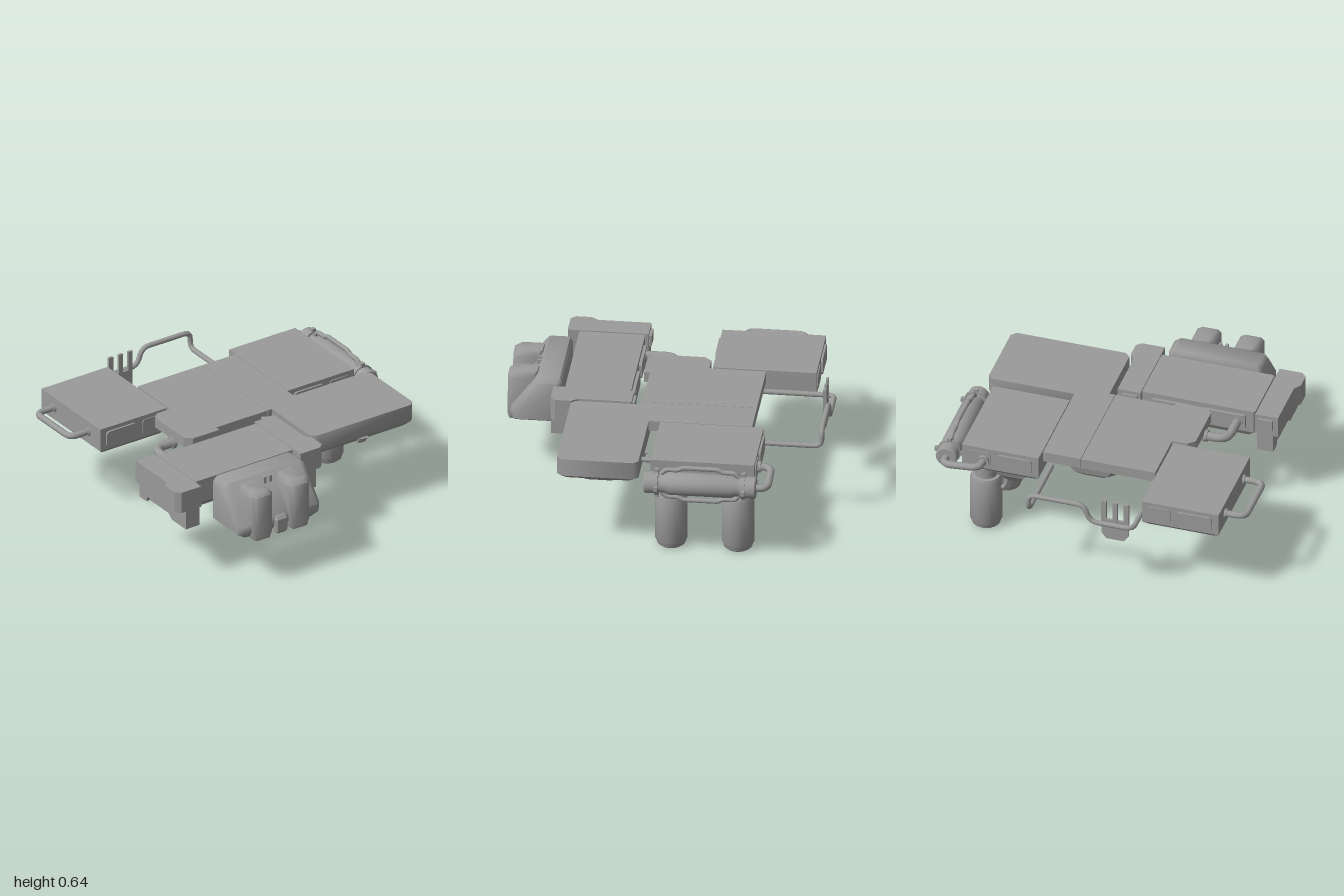
import * as THREE from 'three';
import { ConvexGeometry } from 'three/addons/geometries/ConvexGeometry.js';
import { RoundedBoxGeometry } from 'three/addons/geometries/RoundedBoxGeometry.js';
import { toCreasedNormals } from 'three/addons/utils/BufferGeometryUtils.js';

const V = (x, y, z) => new THREE.Vector3(x, y, z);

export function createModel() {
  const root = new THREE.Group();
  const mat = new THREE.MeshStandardMaterial({ color: 0x9a9a9a });

  const add = (name, geo, x = 0, y = 0, z = 0, parent = root) => {
    const m = new THREE.Mesh(geo, mat);
    m.name = name;
    m.position.set(x, y, z);
    parent.add(m);
    return m;
  };
  // Box given by its limits
  const box = (name, x0, x1, y0, y1, z0, z1, r = 0) => {
    const s = [x1 - x0, y1 - y0, z1 - z0];
    const geo = r ? new RoundedBoxGeometry(...s, 2, r) : new THREE.BoxGeometry(...s);
    return add(name, geo, (x0 + x1) / 2, (y0 + y1) / 2, (z0 + z1) / 2);
  };
  // Plan outline [x, z] extruded upwards
  const slab = (name, plan, y0, y1) => {
    const s = new THREE.Shape(plan.map(([x, z]) => new THREE.Vector2(x, -z)));
    const g = new THREE.ExtrudeGeometry(s, { depth: y1 - y0, bevelEnabled: false });
    return add(name, g.rotateX(-Math.PI / 2), 0, y0, 0);
  };
  // Side outline [z, y] extruded across x
  const side = (name, profile, x0, x1) => {
    const s = new THREE.Shape(profile.map(([z, y]) => new THREE.Vector2(-z, y)));
    const g = new THREE.ExtrudeGeometry(s, { depth: x1 - x0, bevelEnabled: false });
    return add(name, g.rotateY(Math.PI / 2), x0, 0, 0);
  };
  // Rounded panel standing on an end face
  const panel = (name, x0, x1, y0, y1, z, depth, r) => {
    const s = new THREE.Shape();
    s.absarc(x1 - r, y1 - r, r, 0, Math.PI / 2);
    s.absarc(x0 + r, y1 - r, r, Math.PI / 2, Math.PI);
    s.absarc(x0 + r, y0 + r, r, Math.PI, Math.PI * 1.5);
    s.absarc(x1 - r, y0 + r, r, Math.PI * 1.5, Math.PI * 2);
    return add(name, new THREE.ExtrudeGeometry(s, { depth, bevelEnabled: false, curveSegments: 5 }), 0, 0, z - depth / 2);
  };
  // Convex block from stacked rectangles [y, x0, x1, z0, z1, corner cut]; crease softens edges
  const stack = (name, rings, crease = 0) => {
    const p = [];
    for (const [y, x0, x1, z0, z1, c = 0] of rings) {
      for (const [x, sx] of [[x0, 1], [x1, -1]]) for (const [z, sz] of [[z0, 1], [z1, -1]]) {
        p.push(V(x + sx * c, y, z));
        if (c) p.push(V(x, y, z + sz * c));
      }
    }
    const g = new ConvexGeometry(p);
    return add(name, crease ? toCreasedNormals(g, crease) : g);
  };
  // Turned body from a [radius, height] profile
  const turned = (profile) =>
    toCreasedNormals(new THREE.LatheGeometry(profile.map(([r, y]) => new THREE.Vector2(r, y)), 28), 0.6);
  // Pipe along points with rounded corners
  const pipe = (name, points, r, bend = 0.05, parent = root) => {
    const pts = points.map((p) => V(...p));
    const path = new THREE.CurvePath();
    let from = pts[0];
    for (let i = 1; i < pts.length - 1; i++) {
      const c = pts[i];
      const cut = (q) => c.clone().add(q.clone().sub(c).setLength(Math.min(bend, q.distanceTo(c) * 0.49)));
      const a = cut(pts[i - 1]), b = cut(pts[i + 1]);
      path.add(new THREE.LineCurve3(from, a));
      path.add(new THREE.QuadraticBezierCurve3(a, c, b));
      from = b;
    }
    path.add(new THREE.LineCurve3(from, pts[pts.length - 1]));
    return add(name, new THREE.TubeGeometry(path, 80, r, 10), 0, 0, 0, parent);
  };
  // Short round part along an axis
  const disc = (name, x, y, z, r, h, axis = 'y') => {
    const g = new THREE.CylinderGeometry(r, r, h, 20);
    if (axis === 'z') g.rotateX(Math.PI / 2);
    if (axis === 'x') g.rotateZ(Math.PI / 2);
    return add(name, g, x, y, z);
  };

  // Central deck in two plates, with the machinery below it
  slab('deckPlate', [[-0.365, -0.55], [0.097, -0.55], [0.097, 0.135], [-0.27, 0.135], [-0.27, 0.17],
    [-0.46, 0.17], [-0.5, 0.13], [-0.5, -0.17], [-0.46, -0.21], [-0.365, -0.21]], 0.55, 0.615);
  slab('deckPlate', [[0.1, -0.55], [0.335, -0.55], [0.335, 0.07], [0.165, 0.07], [0.135, 0.1], [0.135, 0.135], [0.1, 0.135]], 0.55, 0.615);
  stack('deckSideKeel', [[0.55, -0.36, -0.06, -0.33, 0.01, 0.03], [0.5, -0.34, -0.08, -0.3, -0.02, 0.05],
    [0.46, -0.28, -0.14, -0.24, -0.08, 0.03]]);
  stack('deckRearKeel', [[0.55, -0.12, 0.2, -0.54, -0.26, 0.03], [0.5, -0.11, 0.19, -0.53, -0.28, 0.05],
    [0.455, -0.05, 0.13, -0.48, -0.33, 0.03]]);
  for (const [x, z] of [[-0.21, -0.16], [0.04, -0.4]]) disc('keelHub', x, 0.45, z, 0.045, 0.03);
  box('deckSpine', -0.3, 0.1, 0.51, 0.56, -0.14, 0.08);
  pipe('deckHose', [[0.06, 0.575, 0.13], [0.08, 0.575, 0.155], [0.135, 0.575, 0.165]], 0.012, 0.02);

  // Front slab with a bevelled underside
  stack('frontSlab', [[0.615, 0.135, 0.875, 0.07, 0.558, 0.03], [0.505, 0.135, 0.875, 0.07, 0.558, 0.03],
    [0.475, 0.18, 0.835, 0.1, 0.53, 0.03]], 0.9);
  stack('slabLatch', [[0.5, 0.475, 0.535, 0.055, 0.572, 0.012], [0.462, 0.475, 0.535, 0.08, 0.545, 0.012]]);
  stack('slabSkid', [[0.48, 0.26, 0.83, 0.15, 0.47, 0.03], [0.45, 0.32, 0.8, 0.21, 0.41, 0.03]]);

  // Two equipment boxes with raised panels on their ends and undersides
  for (const [label, x0, z0] of [['rearBox', -0.855, -0.85], ['rightBox', 0.34, -0.62]]) {
    const x1 = x0 + 0.478, z1 = z0 + 0.62;
    stack(label, [[0.615, x0, x1, z0, z1], [0.47, x0, x1, z0, z1], [0.44, x0 + 0.03, x1 - 0.03, z0 + 0.03, z1 - 0.03]]);
    for (const z of [z0, z1]) {
      panel('endPanel', x0 + 0.04, x0 + 0.26, 0.485, 0.59, z, 0.024, 0.025);
      panel('endPanelSmall', x0 + 0.3, x0 + 0.44, 0.485, 0.59, z, 0.012, 0.025);
    }
    for (let i = 0; i < 3; i++) {
      const z = z0 + 0.05 + i * 0.18;
      box('bottomPanel', x0 + 0.06, x1 - 0.06, 0.425, 0.445, z, z + 0.16, 0.009);
    }
  }

  // Grab handle on the rear box
  pipe('sideHandle', [[-0.85, 0.545, -0.72], [-0.982, 0.545, -0.72], [-0.982, 0.545, -0.36], [-0.85, 0.545, -0.36]], 0.02, 0.055);
  for (const z of [-0.72, -0.36]) disc('handleCollar', -0.858, 0.545, z, 0.028, 0.02, 'x');

  // Raised frame pipe behind the deck, with a forked bracket
  pipe('rearFrame', [[0.295, 0.49, -0.5], [0.295, 0.49, -0.962], [0.295, 0.595, -0.962], [-0.05, 0.595, -0.962],
    [-0.09, 0.485, -0.962], [-0.355, 0.485, -0.962], [-0.355, 0.485, -0.36]], 0.016, 0.045);
  stack('forkPlate', [[0.5, -0.32, -0.15, -0.932, -0.918], [0.4, -0.32, -0.15, -0.932, -0.918],
    [0.36, -0.29, -0.18, -0.932, -0.918]]);
  for (const x of [-0.305, -0.235, -0.165]) box('forkProng', x - 0.015, x + 0.015, 0.48, 0.625, -0.933, -0.917);

  // Hanging canisters
  const canister = [[0, 0], [0.07, 0], [0.085, 0.012], [0.09, 0.03], [0.097, 0.045], [0.097, 0.335], [0.088, 0.358],
    [0.068, 0.36], [0.068, 0.395], [0.08, 0.405], [0.08, 0.435], [0.06, 0.44], [0.06, 0.46]];
  for (const z of [-0.11, -0.51]) {
    add('canister', turned(canister), 0.7, 0, z);
    pipe('canisterHose', [[0.53, 0.4, z], [0.56, 0.38, z], [0.58, 0.28, z], [0.63, 0.27, z]], 0.014, 0.04);
    stack('hoseBlock', [[0.44, 0.42, 0.62, z - 0.08, z + 0.08], [0.41, 0.46, 0.6, z - 0.07, z + 0.07],
      [0.355, 0.51, 0.55, z - 0.03, z + 0.03]]);
  }

  // Pressure tube lying beside the right box
  const tube = [[0, 0], [0.06, 0], [0.066, 0.006], [0.066, 0.08], [0.058, 0.09], [0.058, 0.125], [0.07, 0.15],
    [0.07, 0.52], [0.058, 0.545], [0.058, 0.58], [0.066, 0.59], [0.066, 0.664], [0.06, 0.67], [0.036, 0.67],
    [0.036, 0.662], [0.018, 0.662], [0.018, 0.672], [0, 0.672]];
  const tubeGroup = new THREE.Group();
  tubeGroup.name = 'pressureTube';
  tubeGroup.position.set(0.91, 0.515, -0.643);
  root.add(tubeGroup);
  add('tubeBody', turned(tube).rotateX(Math.PI / 2), 0, 0, 0, tubeGroup);
  for (const z of [0.075, 0.595]) {
    add('tubeBand', new THREE.CylinderGeometry(0.074, 0.074, 0.02, 24).rotateX(Math.PI / 2), 0, 0, z, tubeGroup);
  }
  for (let i = 0; i < 4; i++) {
    const arm = new THREE.Group();
    arm.name = 'tubeRib';
    arm.rotation.z = i * Math.PI / 2;
    tubeGroup.add(arm);
    if (i % 2 === 0) {
      pipe('ribRod', [[0, 0.06, 0.1], [0, 0.09, 0.13], [0, 0.09, 0.2], [0, 0.107, 0.23], [0, 0.107, 0.44],
        [0, 0.09, 0.47], [0, 0.09, 0.54], [0, 0.06, 0.57]], 0.014, 0.015, arm);
    }
    for (const z of [0.075, 0.595]) {
      add('bandLug', new THREE.BoxGeometry(0.025, 0.035, 0.025), 0, 0.075, z, arm);
    }
  }
  pipe('tubeFeed', [[0.68, 0.535, -0.6], [0.68, 0.535, -0.71], [0.91, 0.515, -0.71], [0.91, 0.515, -0.62]], 0.022, 0.06);
  disc('feedCollar', 0.68, 0.535, -0.63, 0.035, 0.03, 'z');
  pipe('slabLink', [[0.68, 0.54, -0.02], [0.68, 0.54, 0.09]], 0.016);

  // Front cabinet with discs and bolts underneath
  stack('frontCabinet', [[0.61, -0.745, -0.04, 0.22, 0.615, 0.01], [0.46, -0.745, -0.04, 0.22, 0.615, 0.01],
    [0.425, -0.71, -0.075, 0.24, 0.59, 0.01]]);
  for (const x of [-0.56, -0.23]) {
    panel('cabinetRearPanel', x - 0.13, x + 0.13, 0.48, 0.58, 0.22, 0.035, 0.02);
    box('cabinetFloorPanel', x - 0.14, x + 0.14, 0.412, 0.43, 0.27, 0.56, 0.008);
    disc('floorDisc', x, 0.41, 0.415, 0.075, 0.02);
    disc('floorHub', x, 0.4, 0.415, 0.035, 0.02);
    for (const sx of [-1, 1]) for (const z of [0.3, 0.53]) disc('floorBolt', x + sx * 0.11, 0.41, z, 0.015, 0.02);
  }

  // Stepped side guards, mirrored about the cabinet
  for (const s of [-1, 1]) {
    const X = (d) => -0.395 + s * d;
    slab('sideGuard', [[X(0.358), 0.2], [X(0.358), 0.685], [X(0.5), 0.685], [X(0.53), 0.655], [X(0.53), 0.56],
      [X(0.5), 0.52], [X(0.5), 0.2]], 0.475, 0.612);
    side('guardSkirt', [[0.2, 0.48], [0.2, 0.36], [0.27, 0.36], [0.285, 0.4], [0.31, 0.385], [0.5, 0.385],
      [0.54, 0.355], [0.685, 0.355], [0.685, 0.48]], Math.min(X(0.37), X(0.47)), Math.max(X(0.37), X(0.47)));
    box('guardStub', X(0.423) - 0.046, X(0.423) + 0.046, 0.52, 0.59, 0.185, 0.21);
  }

  // Curved duct from the cabinet to the deck
  pipe('deckDuct', [[-0.64, 0.53, 0.24], [-0.64, 0.53, 0.015], [-0.48, 0.53, 0.015]], 0.027, 0.08);
  disc('ductCollar', -0.64, 0.53, 0.21, 0.036, 0.025, 'z');
  disc('ductCollar', -0.505, 0.53, 0.015, 0.036, 0.025, 'x');

  // Armoured front module with its pods, softly shaded
  stack('frontModule', [[0.632, -0.63, -0.1, 0.655, 0.78, 0.01], [0.605, -0.655, -0.07, 0.64, 0.8, 0.025],
    [0.41, -0.655, -0.07, 0.64, 0.95, 0.025], [0.36, -0.655, -0.07, 0.64, 0.95, 0.025], [0.33, -0.61, -0.12, 0.68, 0.93, 0.01]], 0.95);
  for (const x of [-0.5, -0.232]) {
    stack('modulePod', [[0.622, x - 0.05, x + 0.05, 0.8, 0.94, 0.01], [0.595, x - 0.074, x + 0.074, 0.8, 0.975, 0.025],
      [0.34, x - 0.074, x + 0.074, 0.75, 0.978, 0.025], [0.305, x - 0.055, x + 0.055, 0.7, 0.97, 0.01]], 0.95);
  }
  stack('centrePod', [[0.42, -0.395, -0.335, 0.85, 0.955], [0.4, -0.408, -0.322, 0.85, 0.972, 0.01],
    [0.32, -0.408, -0.322, 0.8, 0.972, 0.01], [0.305, -0.39, -0.34, 0.75, 0.96]]);
  for (const x of [-0.385, -0.345]) box('moduleVent', x - 0.009, x + 0.009, 0.57, 0.622, 0.79, 0.82);

  return root;
}
